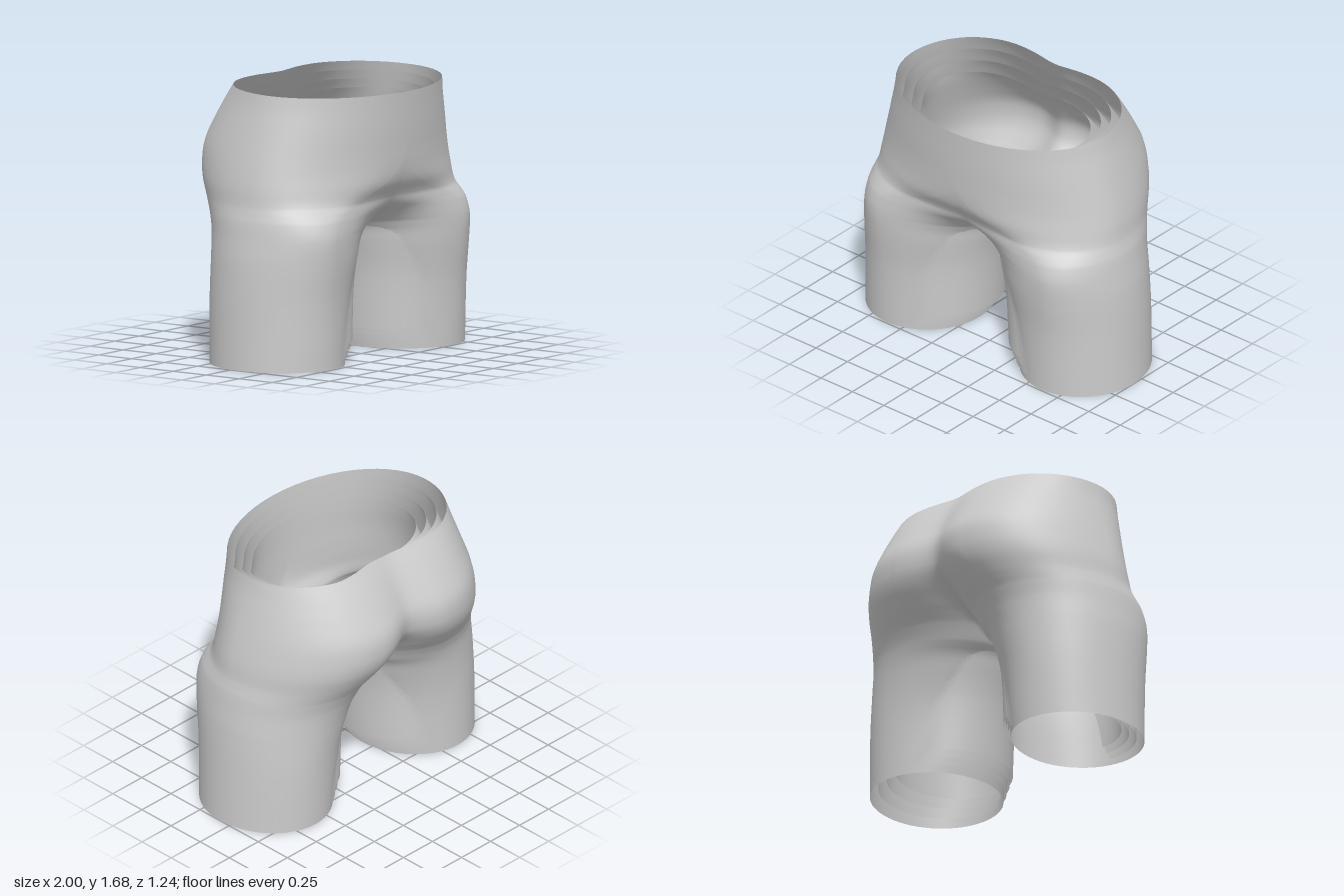
import * as THREE from 'three';
import { mergeVertices } from 'three/addons/utils/BufferGeometryUtils.js';

const CROTCH = 0.8; // height where the two legs meet
const MID_Z = 0.08; // depth of the widest line of every section

// One half section per row: height, outer x,
// front crest x / z / inner x, back crest x / z / inner x.
// A negative inner x means the section is cut by the centre plane.
const SECTIONS = [
  [0.00, 1.000, 0.615, 0.490, 0.225, 0.615, -0.360, 0.225],
  [0.40, 0.985, 0.620, 0.508, 0.168, 0.600, -0.373, 0.168],
  [0.65, 0.970, 0.630, 0.535, 0.088, 0.540, -0.392, 0.088],
  [0.80, 0.950, 0.640, 0.543, 0.000, 0.480, -0.420, 0.000],
  [0.90, 0.935, 0.600, 0.532, -0.240, 0.430, -0.462, -0.045],
  [0.95, 0.922, 0.530, 0.522, -0.600, 0.400, -0.495, -0.070],
  [1.00, 0.910, 0.410, 0.518, -1.000, 0.370, -0.530, -0.090],
  [1.10, 0.897, 0.170, 0.562, -1.100, 0.320, -0.590, -0.115],
  [1.20, 0.877, 0.040, 0.583, -1.100, 0.290, -0.618, -0.155],
  [1.32, 0.848, 0.000, 0.595, -1.100, 0.280, -0.610, -0.200],
  [1.45, 0.815, 0.000, 0.605, -1.100, 0.280, -0.543, -0.250],
  [1.58, 0.782, 0.000, 0.613, -1.100, 0.280, -0.460, -0.280],
  [1.67, 0.765, 0.000, 0.619, -1.100, 0.280, -0.393, -0.300],
];

// Slope of one column at a given row
function slope(i, c) {
  const a = SECTIONS[Math.max(i - 1, 0)];
  const b = SECTIONS[Math.min(i + 1, SECTIONS.length - 1)];
  return (b[c] - a[c]) / (b[0] - a[0]);
}

// Smooth blend between row i and the next one
function sectionAt(i, f) {
  const a = SECTIONS[i], b = SECTIONS[i + 1], h = b[0] - a[0];
  const f2 = f * f, f3 = f2 * f;
  return a.map((v, c) => c === 0 ? v + h * f :
    (2 * f3 - 3 * f2 + 1) * v + (f3 - 2 * f2 + f) * h * slope(i, c) +
    (3 * f2 - 2 * f3) * b[c] + (f3 - f2) * h * slope(i + 1, c));
}

// Half outline from the inner front, round the outside, to the inner back
function halfLoop(section, t) {
  let [y, outer, cf, zf, xf, cb, zb, xb] = section;
  if (y < CROTCH - 1e-6) xb = xf;
  const up = y / 1.67;

  // Inner layers are smaller and sit closer to the centre
  outer -= 0.19 * t;
  zf -= t * (0.035 + 0.08 * up);
  zb += t * (0.06 + 0.1 * up);
  cf = Math.max(cf, 0) * (1 - 0.235 * t);
  cb *= 1 - 0.235 * t;
  xf *= 1 - 0.4 * t;
  xb *= 1 - 0.4 * t;
  const height = y + t * (0.13 - 0.26 * up);

  const points = [];
  const add = (x, z) => points.push([
    Math.max(x, 0), height - 0.03 * up ** 6 * (z - MID_Z), z,
  ]);
  // Inner quarter; "round" softens the valley at the centre plane
  const inner = (c, x, zMax, f, round) => {
    const start = x < 0 ? Math.acos(Math.min(1, c / (c - x))) : 0;
    const a = start + (Math.PI / 2 - start) * f;
    const px = c - (c - x) * Math.cos(a);
    const k = round > 0 ? (c - Math.hypot(px, round)) / (c - x) : Math.cos(a);
    add(px, MID_Z + (zMax - MID_Z) * Math.sqrt(Math.max(0, 1 - k * k)));
  };
  const outside = (c, zMax, f) => {
    const a = f * Math.PI / 2;
    add(c + (outer - c) * Math.sin(a), MID_Z + (zMax - MID_Z) * Math.cos(a));
  };
  const cleft = 0.08 * THREE.MathUtils.smoothstep(y, 0.88, 1.18);
  const N = 14;
  for (let i = 0; i < N; i++) inner(cf, xf, zf, i / N, 0);
  for (let i = 0; i < N; i++) outside(cf, zf, i / N);
  for (let i = N; i > 0; i--) outside(cb, zb, i / N);
  for (let i = N; i >= 0; i--) inner(cb, xb, zb, i / N, cleft);
  return points;
}

// Both mirrored halves, welded along the centre plane
function shellGeometry(t) {
  const loops = [];
  const STEPS = 5;
  for (let i = 0; i < SECTIONS.length - 1; i++) {
    for (let s = 0; s < STEPS; s++) loops.push(halfLoop(sectionAt(i, s / STEPS), t));
  }
  loops.push(halfLoop(SECTIONS[SECTIONS.length - 1], t));

  const positions = [], index = [];
  const n = loops[0].length;
  for (const side of [1, -1]) {
    const base = positions.length / 3;
    for (const loop of loops) for (const [x, y, z] of loop) positions.push(side * x, y, z);
    for (let r = 0; r < loops.length - 1; r++) {
      for (let j = 0; j < n - 1; j++) {
        const a = base + r * n + j, b = a + 1, c = a + n, d = c + 1;
        if (side > 0) index.push(a, b, d, a, d, c);
        else index.push(a, d, b, a, c, d);
      }
    }
  }
  const geometry = new THREE.BufferGeometry();
  geometry.setAttribute('position', new THREE.Float32BufferAttribute(positions, 3));
  geometry.setIndex(index);
  const welded = mergeVertices(geometry, 1e-4);
  welded.computeVertexNormals();
  return welded;
}

export function createModel() {
  const model = new THREE.Group();
  model.name = 'shorts';
  const material = new THREE.MeshStandardMaterial({ color: 0xcccccc, side: THREE.DoubleSide });

  // Outer shell and three nested layers
  ['outerShell', 'secondLayer', 'thirdLayer', 'innerLayer'].forEach((name, k) => {
    const mesh = new THREE.Mesh(shellGeometry(k / 3), material);
    mesh.name = name;
    model.add(mesh);
  });
  return model;
}
